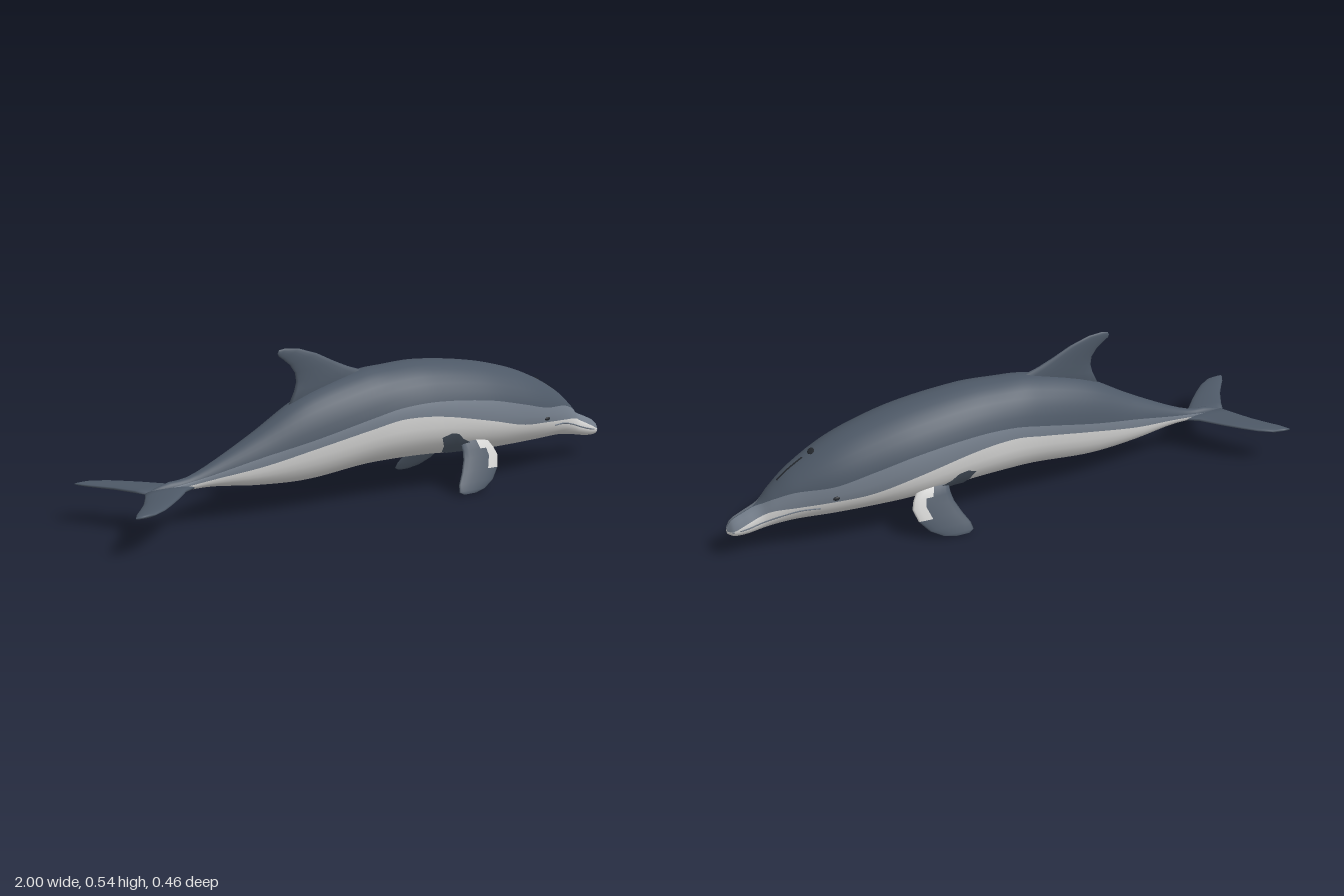
import * as THREE from 'three';

const mat = (name, color) => {
  const m = new THREE.MeshStandardMaterial({ color });
  m.name = name;
  return m;
};
const V = (x, y, z) => new THREE.Vector3(x, y, z);

// Body stations: x, top, bottom, half width, lower edge of back colour, lower edge of flank colour
const STATIONS = [
  [-0.84, 0.138, 0.118, 0.006, 0.128, 0.123],
  [-0.78, 0.155, 0.113, 0.018, 0.14, 0.13],
  [-0.72, 0.16, 0.12, 0.02, 0.147, 0.137],
  [-0.63, 0.195, 0.12, 0.033, 0.165, 0.15],
  [-0.47, 0.275, 0.102, 0.066, 0.205, 0.175],
  [-0.29, 0.375, 0.095, 0.097, 0.245, 0.215],
  [-0.07, 0.438, 0.117, 0.125, 0.298, 0.262],
  [0.03, 0.446, 0.12, 0.136, 0.318, 0.28],
  [0.17, 0.45, 0.118, 0.149, 0.325, 0.275],
  [0.38, 0.426, 0.105, 0.155, 0.305, 0.235],
  [0.54, 0.388, 0.104, 0.141, 0.27, 0.197],
  [0.66, 0.343, 0.105, 0.121, 0.24, 0.187],
  [0.78, 0.275, 0.105, 0.085, 0.225, 0.175],
  [0.85, 0.215, 0.097, 0.06, 0.198, 0.165],
  [0.885, 0.178, 0.09, 0.047, 0.176, 0.15],
  [0.94, 0.152, 0.08, 0.04, 0.152, 0.125],
  [0.98, 0.132, 0.08, 0.03, 0.132, 0.105],
  [0.997, 0.11, 0.088, 0.012, 0.11, 0.099],
];

// Smooth interpolation of the stations at x
function section(x) {
  const S = STATIONS, last = S.length - 1;
  let i = 0;
  while (i < last - 1 && x > S[i + 1][0]) i++;
  const slope = (k, c) => {
    const a = S[Math.max(k - 1, 0)], b = S[Math.min(k + 1, last)];
    return (b[c] - a[c]) / (b[0] - a[0]);
  };
  const h = S[i + 1][0] - S[i][0], t = (x - S[i][0]) / h, u = 1 - t;
  const [top, bottom, width, edge1, edge2] = [1, 2, 3, 4, 5].map((c) =>
    S[i][c] * u * u * (1 + 2 * t) + S[i + 1][c] * t * t * (3 - 2 * t) +
    h * t * u * (u * slope(i, c) - t * slope(i + 1, c)));
  return { top, bottom, width, edge1, edge2, mid: bottom + 0.4 * (top - bottom) };
}

// Angle from the top of the section at a given height, and the point at that angle
function angleAt(s, y) {
  const d = y - s.mid, c = d / (d > 0 ? s.top - s.mid : s.mid - s.bottom);
  return Math.acos(THREE.MathUtils.clamp(c, -1, 1));
}
function skin(x, s, a, side = 1, lift = 0) {
  const c = Math.cos(a), r = Math.max(Math.sin(a), 0);
  const y = s.mid + c * (c > 0 ? s.top - s.mid : s.mid - s.bottom);
  return V(x, y + lift * c, side * (s.width * Math.pow(r, c > 0 ? 1 : 0.8) + lift * r));
}
const skinAt = (x, y, side, lift) => {
  const s = section(x);
  return skin(x, s, angleAt(s, y), side, lift);
};

// Closed loft through rings, with one material index per quad
function loft(rings, materials, pick = () => 0) {
  const n = rings[0].length, pts = rings.flat(), faces = materials.map(() => []);
  for (let i = 0; i < rings.length - 1; i++) for (let j = 0; j < n; j++) {
    const a = i * n + j, b = i * n + (j + 1) % n;
    faces[pick(i, j)].push(a, b, a + n, b, b + n, a + n);
  }
  [0, rings.length - 1].forEach((i) => {
    const c = pts.length;
    pts.push(rings[i].reduce((sum, p) => sum.add(p), V(0, 0, 0)).divideScalar(n));
    for (let j = 0; j < n; j++) {
      const a = i * n + j, b = i * n + (j + 1) % n;
      faces[pick(Math.min(i, rings.length - 2), j)].push(...(i ? [a, b, c] : [b, a, c]));
    }
  });
  // Turn the faces outward
  const all = faces.flat();
  let volume = 0;
  for (let k = 0; k < all.length; k += 3) {
    volume += pts[all[k]].dot(V(0, 0, 0).crossVectors(pts[all[k + 1]], pts[all[k + 2]]));
  }
  if (volume < 0) for (let k = 0; k < all.length; k += 3) [all[k], all[k + 1]] = [all[k + 1], all[k]];
  const g = new THREE.BufferGeometry().setFromPoints(pts);
  g.setIndex(all);
  let start = 0;
  faces.forEach((f, m) => { g.addGroup(start, f.length, m); start += f.length; });
  g.computeVertexNormals();
  return new THREE.Mesh(g, materials);
}

// Fin from [leading edge, trailing edge, half thickness] sections
const FIN_SIDES = 16;
function fin(sections, across, materials, pick) {
  return loft(sections.map(([lead, trail, thick]) => {
    const mid = lead.clone().add(trail).multiplyScalar(0.5), half = lead.clone().sub(mid);
    return Array.from({ length: FIN_SIDES }, (_, j) => {
      const t = (j / FIN_SIDES) * Math.PI * 2;
      return mid.clone().addScaledVector(half, Math.cos(t)).addScaledVector(across, thick * Math.sin(t));
    });
  }), materials, pick);
}

export function createModel() {
  const group = new THREE.Group();
  const back = mat('slate back', 0x4d5866), flank = mat('grey flank', 0x747e8b);
  const belly = mat('pale belly', 0xd4d4d3), black = mat('near black', 0x24282e);
  const add = (name, mesh) => { mesh.name = name; group.add(mesh); return mesh; };

  // Body with back, flank and belly bands
  const rings = [];
  for (let i = 0; i <= 90; i++) {
    const x = -0.84 + 1.837 * Math.sin((i / 90) * Math.PI / 2), s = section(x);
    const a1 = Math.max(angleAt(s, s.edge1), 0.04), a2 = Math.max(angleAt(s, s.edge2), a1 + 0.04);
    const angles = [];
    for (let j = 0; j < 7; j++) angles.push(a1 * j / 7);
    for (let j = 0; j < 2; j++) angles.push(a1 + (a2 - a1) * j / 2);
    for (let j = 0; j <= 7; j++) angles.push(a2 + (Math.PI - a2) * j / 7);
    const left = angles.map((a) => skin(x, s, a));
    const right = angles.slice(1, -1).reverse().map((a) => skin(x, s, a, -1));
    rings.push([...left, ...right]);
  }
  add('body', loft(rings, [back, flank, belly], (i, j) => {
    const k = j < 16 ? j : 31 - j;
    return k < 7 ? 0 : k < 9 ? 1 : 2;
  }));

  // Dorsal fin, swept back
  const dorsal = [
    [0.02, 0.42, -0.36, 0.31, 0.016], [-0.055, 0.438, -0.318, 0.395, 0.014],
    [-0.11, 0.456, -0.31, 0.425, 0.012], [-0.165, 0.48, -0.314, 0.455, 0.01],
    [-0.23, 0.512, -0.333, 0.483, 0.008], [-0.3, 0.535, -0.357, 0.503, 0.006],
    [-0.35, 0.54, -0.374, 0.515, 0.005], [-0.372, 0.536, -0.378, 0.524, 0.002],
  ].map(([a, b, c, d, t]) => [V(a, b, 0), V(c, d, 0), t]);
  add('dorsalFin', fin(dorsal, V(0, 0, 1), [back]));

  [[1, 'left'], [-1, 'right']].forEach(([s, side]) => {
    // Tail fluke
    const fluke = [
      [-0.66, -0.862, 0, 0.011], [-0.735, -0.88, 0.04, 0.011], [-0.798, -0.918, 0.11, 0.01],
      [-0.842, -0.95, 0.155, 0.009], [-0.885, -0.98, 0.195, 0.008],
      [-0.93, -0.996, 0.224, 0.006], [-0.97, -1, 0.232, 0.003],
    ].map(([a, b, z, t]) => [V(a, 0.13, s * z), V(b, 0.129, s * z), t]);
    add(side + 'Fluke', fin(fluke, V(0, 1, 0), [back]));

    // Flipper with pale leading edge near the root
    const flipper = [
      [0.385, 0.275, 0.165, 0.014], [0.405, 0.272, 0.135, 0.014], [0.414, 0.266, 0.11, 0.013],
      [0.4, 0.245, 0.07, 0.011], [0.368, 0.222, 0.035, 0.008], [0.325, 0.216, 0.012, 0.006],
      [0.285, 0.232, 0.003, 0.003],
    ].map(([a, b, y, t]) => {
      const z = s * (0.135 + (0.14 - y) * 0.48);
      return [V(a, y, z), V(b, y, z), t];
    });
    const paleFrom = [0.1, 0.2, 0.5];
    add(side + 'Flipper', fin(flipper, V(0, 0.43, s * 0.9), [back, belly], (i, j) =>
      i < 3 && Math.cos((j + 0.5) / FIN_SIDES * Math.PI * 2) > paleFrom[i] ? 1 : 0));

    // Dark patch on the body above the flipper
    const outline = [[0.18, 0.2], [0.215, 0.212], [0.245, 0.207], [0.27, 0.185], [0.3, 0.17],
      [0.33, 0.145], [0.31, 0.128], [0.24, 0.128], [0.21, 0.14], [0.2, 0.165]];
    const pts = [skinAt(0.25, 0.165, s, 0.004)];
    outline.forEach(([x, y]) => pts.push(skinAt(x, y, s, 0.004)));
    const index = outline.flatMap((_, k) => {
      const a = k + 1, b = (k + 1) % outline.length + 1;
      return s > 0 ? [0, b, a] : [0, a, b];
    });
    const patch = new THREE.BufferGeometry().setFromPoints(pts);
    patch.setIndex(index);
    patch.computeVertexNormals();
    add(side + 'FlipperPatch', new THREE.Mesh(patch, back));

    // Eye and mouth line
    const eye = add(side + 'Eye', new THREE.Mesh(new THREE.SphereGeometry(0.01, 16, 10), black));
    eye.position.copy(skinAt(0.66, 0.2, s, 0));
    eye.scale.set(1.2, 0.7, 0.5);
    const lip = [[0.985, 0.1], [0.94, 0.11], [0.89, 0.125], [0.83, 0.147], [0.77, 0.163], [0.71, 0.166]];
    const curve = new THREE.CatmullRomCurve3(lip.map(([x, y]) => skinAt(x, y, s, 0)));
    add(side + 'MouthLine', new THREE.Mesh(new THREE.TubeGeometry(curve, 30, 0.0025, 6), flank));
  });

  // Blowhole and the groove in front of it
  const hole = add('blowhole', new THREE.Mesh(new THREE.SphereGeometry(1, 20, 10), black));
  hole.position.set(0.7, section(0.7).top, 0);
  hole.rotation.z = -0.5;
  hole.scale.set(0.012, 0.003, 0.018);
  const groove = new THREE.CatmullRomCurve3([0.73, 0.76, 0.79, 0.82].map((x) => V(x, section(x).top, 0)));
  add('browGroove', new THREE.Mesh(new THREE.TubeGeometry(groove, 16, 0.003, 6), black));

  return group;
}
